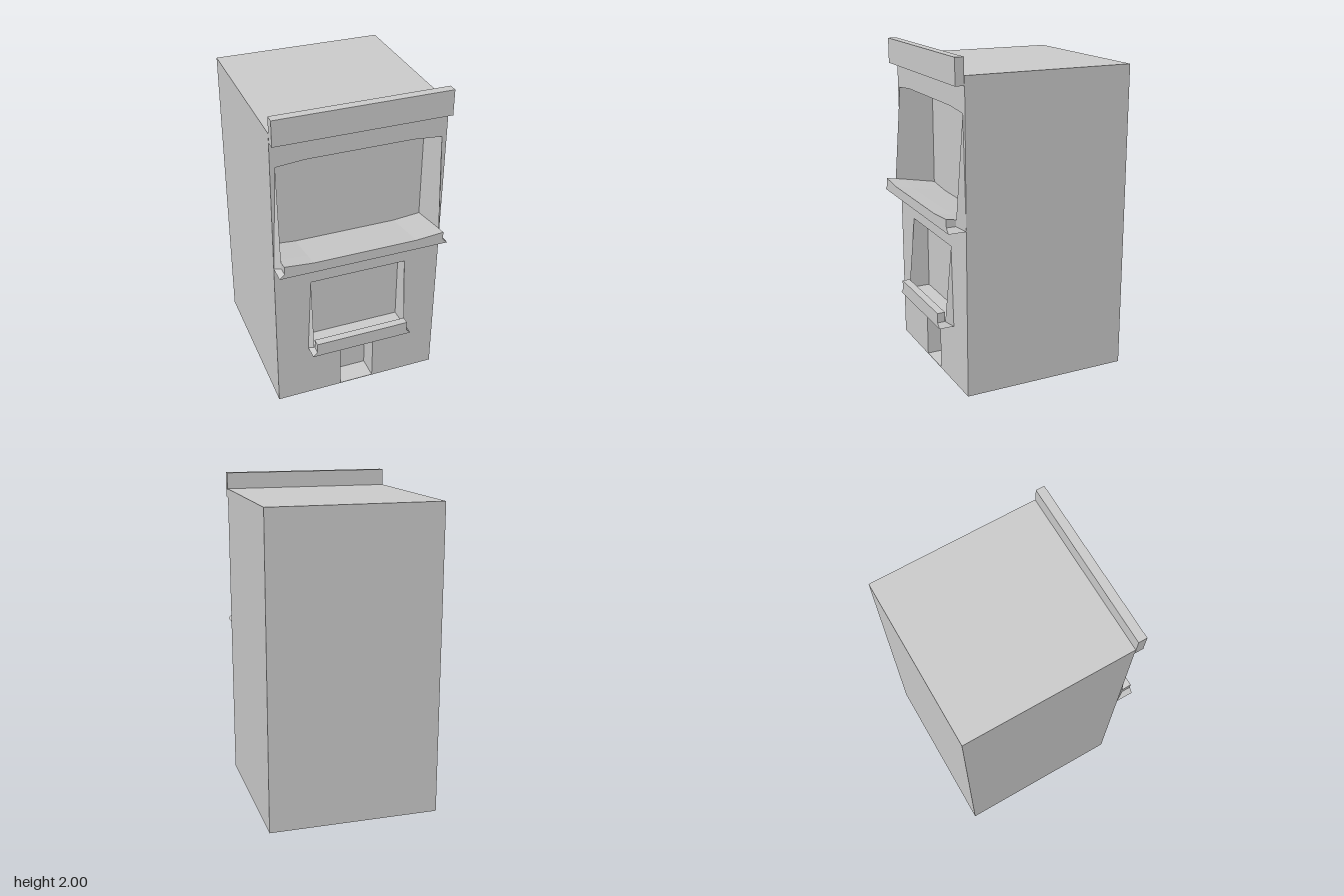
import * as THREE from 'three';

const WALL = 0.472, BACK = -0.58, HALF = 0.525;
const material = new THREE.MeshStandardMaterial({ color: 0xcccccc, side: THREE.DoubleSide, flatShading: true });

function meshOf(name, geometry) {
  const mesh = new THREE.Mesh(geometry, material);
  mesh.name = name;
  return mesh;
}

function fromCorners(name, corners) {
  const g = new THREE.BufferGeometry();
  g.setAttribute('position', new THREE.Float32BufferAttribute(corners.flat(), 3));
  g.computeVertexNormals();
  return meshOf(name, g);
}

// Joins two outlines at depths za and zb; caps either end on request
function loft(name, a, za, b, zb, capA, capB) {
  const out = [];
  a.forEach((p, i) => {
    const j = (i + 1) % a.length;
    const A = [...p, za], B = [...a[j], za], C = [...b[j], zb], D = [...b[i], zb];
    out.push(A, B, C, A, C, D);
  });
  const cap = (ring, z, flip) => {
    const tris = THREE.ShapeUtils.triangulateShape(ring.map(p => new THREE.Vector2(...p)), []);
    for (const t of tris) for (const k of flip ? [t[0], t[2], t[1]] : t) out.push([...ring[k], z]);
  };
  if (capA) cap(a, za, false);
  if (capB) cap(b, zb, true);
  return fromCorners(name, out);
}

const rect = (w, y0, y1) => [[-w, y1], [-w, y0], [w, y0], [w, y1]];
const lower = (ring, limit, d) => ring.map(([x, y]) => [x, y < limit ? y - d : y]);

// Tapered cheek beside an opening, knife edged at the front
function cheek(side, w, flare, top, outerTop, joint, bottom, zKnife) {
  const T = [side * w, top, WALL], O = [side * (w + flare), outerTop, WALL];
  const B = [side * (w + flare), bottom, WALL], K = [side * w, joint, zKnife];
  const I = [side * w, joint, WALL];
  const tris = [[T, K, B], [T, B, O], [T, I, K]];
  return fromCorners(side > 0 ? 'leftCheek' : 'rightCheek',
    tris.flatMap(t => (side > 0 ? t : [t[0], t[2], t[1]])));
}

export function createModel() {
  const model = new THREE.Group();

  // Outlines of the three recesses where they meet the front wall
  const windowRing = [
    [-0.495, 1.69], [-0.495, 1.086], [-0.32, 1.07], [0.32, 1.07],
    [0.495, 1.086], [0.495, 1.69], [0.32, 1.705], [-0.32, 1.705]];
  const hatchRing = rect(0.302, 0.4, 0.87);
  const doorRing = rect(0.11, 0.004, 0.37);

  // Cabinet: outer shell and pierced front wall
  const shell = rect(HALF, 0, 1.9);
  model.add(loft('cabinet', shell, WALL, shell, BACK, false, true));
  const facade = new THREE.Shape(shell.map(p => new THREE.Vector2(...p)));
  for (const ring of [windowRing, hatchRing, doorRing])
    facade.holes.push(new THREE.Path(ring.map(p => new THREE.Vector2(...p))));
  model.add(meshOf('frontWall', new THREE.ShapeGeometry(facade).translate(0, 0, WALL)));

  // Recess linings, reversed so they face inwards
  const lining = (name, ring, z, drop = 0) => {
    const r = [...ring].reverse();
    model.add(loft(name, r, WALL, lower(r, 1.2, drop), z, false, true));
  };
  lining('windowRecess', windowRing, 0.25, 0.043);
  lining('hatchRecess', hatchRing, 0.38);
  lining('doorRecess', doorRing, 0.335);

  // Upper sill: dished top sloping inwards, flared foot
  const sill = [
    [-0.495, 1.105], [-0.495, 1.055], [-HALF, 1.025], [HALF, 1.025],
    [0.495, 1.055], [0.495, 1.105], [0.32, 1.09], [-0.32, 1.09]];
  const sillBack = sill.map(([x, y]) => [x, y > 1.06 ? y - 0.019 : y]);
  model.add(loft('windowSill', sill, 0.58, sillBack, WALL, true, false));

  // Lower sill: flared foot with an upright lip
  const foot = [[-0.298, 0.4], [-0.325, 0.37], [0.325, 0.37], [0.298, 0.4]];
  model.add(loft('hatchSill', foot, 0.565, foot, WALL, true, false));
  const lip = rect(0.298, 0.4, 0.46);
  model.add(loft('hatchLip', lip, 0.565, lip, 0.517, true, true));

  // Cheeks on both sides of each opening
  for (const side of [-1, 1]) {
    model.add(cheek(side, 0.495, 0.03, 1.695, 1.72, 1.055, 1.025, 0.522));
    model.add(cheek(side, 0.302, 0.023, 0.87, 0.895, 0.4, 0.37, 0.517));
  }

  // Beam along the top front edge
  const beam = rect(HALF, 1.845, 2);
  model.add(loft('topBeam', beam, 0.528, beam, WALL + 0.002, true, true));
  return model;
}
